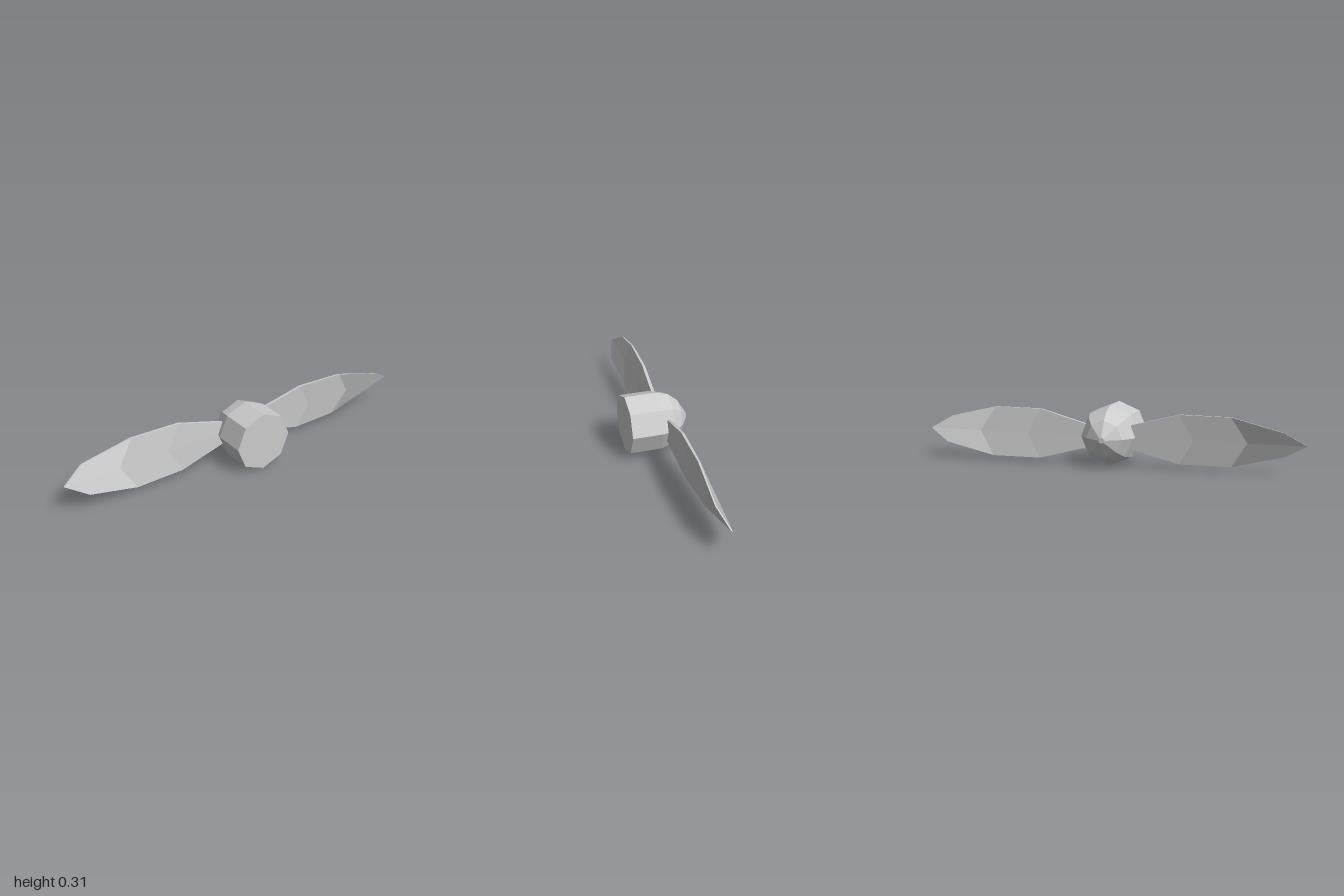
import * as THREE from 'three';

const CENTER_Y = 0.156;
const BLADE_Z = -0.034;
const BLADE_DROP = 0.002;

// Blade stations: edge x, mid-chord x, half chord, z lean of the edges, thickness
const STATIONS = [
  [0.12, 0.13, 0.062, 0.0, 0.018],
  [0.37, 0.44, 0.128, 0.011, 0.014],
  [0.63, 0.71, 0.128, 0.021, 0.01],
  [0.89, 1.0, 0.065, 0.036, 0.006],
];

// Six-point cross-section: front face top to bottom, then back face bottom to top
function section([edgeX, midX, half, lean, thick]) {
  const t = thick / 2;
  return [
    [edgeX, half, lean + t], [midX, 0, t], [edgeX, -half, -lean + t],
    [edgeX, -half, -lean - t], [midX, 0, -t], [edgeX, half, lean - t],
  ].map((p) => new THREE.Vector3(...p));
}

function bladeGeometry() {
  const rings = STATIONS.map(section);
  const positions = [];
  const normals = [];

  // Quad split along a-c, with one flat normal for both halves
  const quad = (a, b, c, d) => {
    const normal = c.clone().sub(a).cross(d.clone().sub(b)).normalize();
    for (const p of [a, b, c, a, c, d]) {
      positions.push(...p.toArray());
      normals.push(...normal.toArray());
    }
  };

  // Skin: front and back are split alike so the thin faces never cross
  for (let i = 0; i < rings.length - 1; i++) {
    const [r, s] = [rings[i], rings[i + 1]];
    for (let j = 0; j < 6; j++) {
      const k = (j + 1) % 6;
      if (j % 3 === 1) quad(r[k], s[k], s[j], r[j]);
      else quad(r[j], r[k], s[k], s[j]);
    }
  }

  // Close the tip and the root
  const tip = rings[rings.length - 1];
  const root = rings[0];
  quad(tip[0], tip[1], tip[4], tip[5]);
  quad(tip[1], tip[2], tip[3], tip[4]);
  quad(root[5], root[4], root[1], root[0]);
  quad(root[4], root[3], root[2], root[1]);

  const g = new THREE.BufferGeometry();
  g.setAttribute('position', new THREE.Float32BufferAttribute(positions, 3));
  g.setAttribute('normal', new THREE.Float32BufferAttribute(normals, 3));
  return g;
}

export function createModel() {
  const model = new THREE.Group();
  model.name = 'propeller';

  // Eight-sided hub with a rounded nose pointing to the back
  const profile = [
    [0, -0.163], [0.156, -0.163], [0.156, 0], [0.137, 0.066],
    [0.095, 0.116], [0.015, 0.163], [0, 0.163],
  ].map(([r, y]) => new THREE.Vector2(r, y));
  const hubGeometry = new THREE.LatheGeometry(profile, 8);
  hubGeometry.rotateX(-Math.PI / 2);
  const hubMaterial = new THREE.MeshStandardMaterial({ color: 0xcccccc, flatShading: true });
  const hub = new THREE.Mesh(hubGeometry, hubMaterial);
  hub.name = 'hub';
  hub.position.y = CENTER_Y;
  model.add(hub);

  // Two twisted blades, half a turn apart
  const geometry = bladeGeometry();
  const bladeMaterial = new THREE.MeshStandardMaterial({ color: 0xcccccc });
  ['leftBlade', 'rightBlade'].forEach((name, i) => {
    const blade = new THREE.Mesh(geometry, bladeMaterial);
    blade.name = name;
    blade.position.set(0, CENTER_Y + (i ? BLADE_DROP : -BLADE_DROP), BLADE_Z);
    blade.rotation.z = i * Math.PI;
    model.add(blade);
  });

  return model;
}
